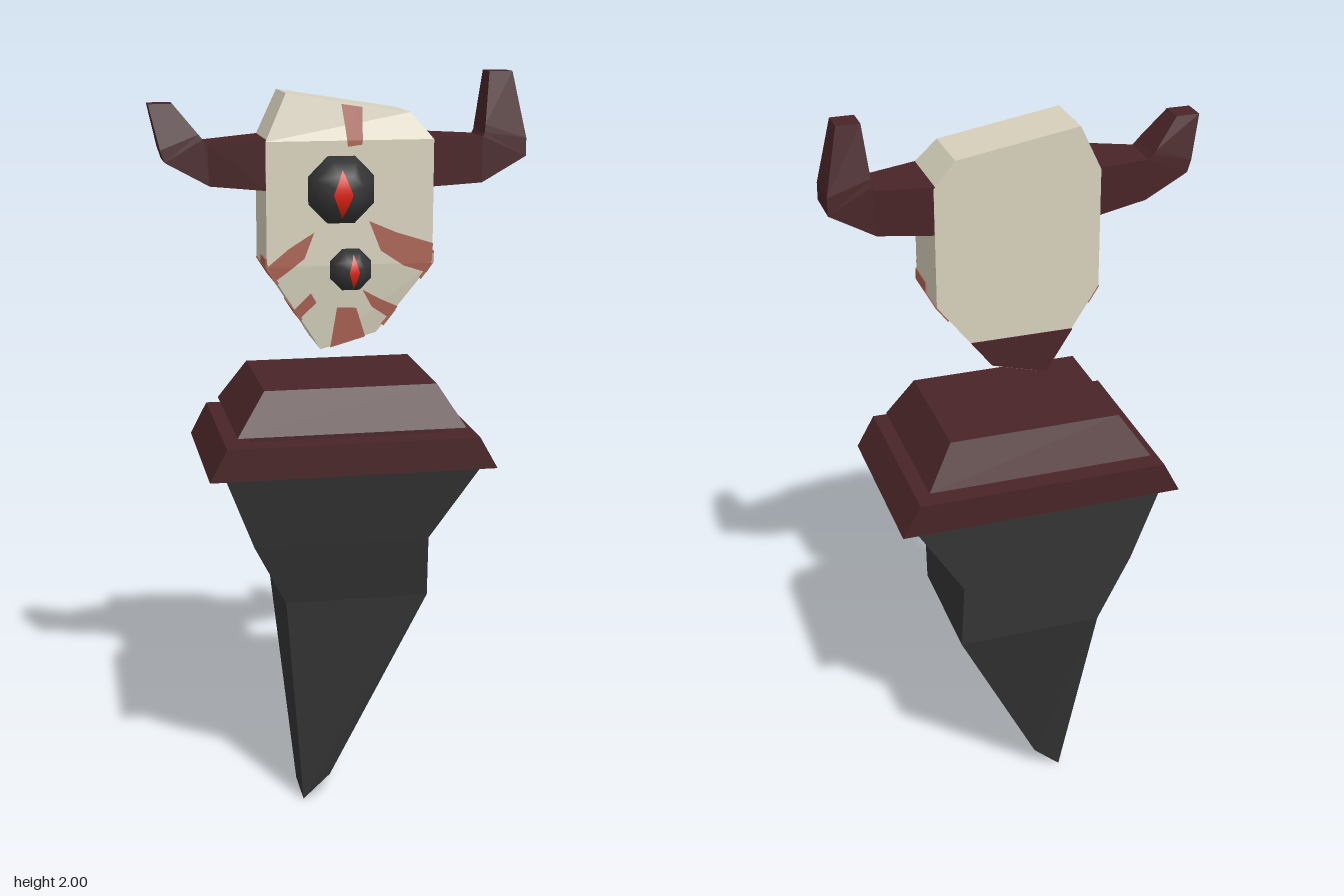
import * as THREE from 'three';

const mat = (name, color) => {
  const m = new THREE.MeshStandardMaterial({ color });
  m.name = name;
  return m;
};

export function createModel() {
  const maroon = mat('maroon', 0x482427);
  const black = mat('charcoal', 0x343434);
  const bone = mat('bone', 0xd6d0bb);
  const paint = mat('red paint', 0xaa6353);
  const red = mat('pupil red', 0xdd2010);
  paint.side = red.side = THREE.DoubleSide;

  const root = new THREE.Group();
  const add = (name, geo, material, parent = root) => {
    const mesh = new THREE.Mesh(geo, material);
    mesh.name = name;
    parent.add(mesh);
    return mesh;
  };

  // Faceted solid through four-cornered sections: [ax, ay, bx, by, zBack, zFront]
  const loft = (sections) => {
    const rings = sections.map(([ax, ay, bx, by, zb, zf]) =>
      [[ax, ay, zf], [bx, by, zf], [bx, by, zb], [ax, ay, zb]]);
    const pos = [];
    const quad = (a, b, c, d) => pos.push(...a, ...b, ...c, ...a, ...c, ...d);
    for (let i = 0; i < rings.length - 1; i++) {
      for (let j = 0; j < 4; j++) {
        const k = (j + 1) % 4;
        quad(rings[i][j], rings[i][k], rings[i + 1][k], rings[i + 1][j]);
      }
    }
    quad(...[...rings[0]].reverse());
    quad(...rings[rings.length - 1]);
    const geo = new THREE.BufferGeometry();
    geo.setAttribute('position', new THREE.Float32BufferAttribute(pos, 3));
    geo.computeVertexNormals();
    return geo;
  };
  const level = (y, x0, x1, z0, z1) => [x0, y, x1, y, z0, z1];

  // Tapering crooked spike
  add('spike', loft([
    [-0.1, 0, -0.025, 0.07, -0.08, 0.05],
    level(0.62, -0.155, 0.23, -0.22, 0.12),
    level(0.8, -0.245, 0.22, -0.22, 0.17),
    level(1.01, -0.325, 0.35, -0.22, 0.22),
  ]), black);

  // Two stacked collar slabs with a narrow neck between
  add('lowerCollar', loft([
    level(1.005, -0.365, 0.383, -0.243, 0.243),
    level(1.09, -0.32, 0.335, -0.243, 0.243),
  ]), maroon);
  add('collarNeck', loft([
    level(1.085, -0.25, 0.26, -0.18, 0.18),
    level(1.115, -0.25, 0.26, -0.18, 0.18),
  ]), maroon);
  add('upperCollar', loft([
    level(1.11, -0.29, 0.305, -0.22, 0.215),
    level(1.22, -0.215, 0.235, -0.175, 0.172),
  ]), maroon);

  // Floating mask
  const mask = new THREE.Group();
  mask.name = 'mask';
  root.add(mask);
  add('maskBody', loft([
    [-0.06, 1.31, 0.085, 1.35, -0.045, 0.115],
    level(1.53, -0.2, 0.225, -0.045, 0.14),
    level(1.84, -0.2, 0.225, -0.045, 0.14),
    [-0.145, 1.955, 0.17, 1.905, -0.045, 0.115],
  ]), bone, mask);
  add('backChinPatch', loft([
    [-0.06, 1.31, 0.085, 1.35, -0.05, -0.044],
    level(1.42, -0.13, 0.139, -0.05, -0.044),
  ]), maroon, mask);

  // Horns
  const hz = 0.047;
  const hornSection = (ax, ay, bx, by, h) => [ax, ay, bx, by, hz - h, hz + h];
  add('leftHorn', loft([
    hornSection(0.22, 1.845, 0.22, 1.722, 0.092),
    hornSection(0.36, 1.84, 0.36, 1.725, 0.057),
    hornSection(0.365, 1.85, 0.475, 1.79, 0.056),
    hornSection(0.367, 1.87, 0.475, 1.835, 0.054),
    hornSection(0.38, 2, 0.44, 2, 0.032),
  ]), maroon);
  add('rightHorn', loft([
    hornSection(-0.195, 1.72, -0.195, 1.845, 0.092),
    hornSection(-0.335, 1.73, -0.34, 1.835, 0.057),
    hornSection(-0.445, 1.79, -0.35, 1.845, 0.056),
    hornSection(-0.455, 1.82, -0.36, 1.857, 0.054),
    hornSection(-0.48, 1.93, -0.42, 1.93, 0.032),
  ]), maroon);

  // Painted stripes, cut where the face bends and laid on its planes
  const faceZ = (y) => 0.144 - (y < 1.53 ? (1.53 - y) * 0.114 : y > 1.84 ? (y - 1.84) * 0.217 : 0);
  const clip = (pts, limit, sign) => pts.flatMap((p, i) => {
    const q = pts[(i + 1) % pts.length];
    const dp = (p[1] - limit) * sign, dq = (q[1] - limit) * sign;
    const out = dp >= 0 ? [p] : [];
    if (dp * dq < 0) out.push([p[0] + (q[0] - p[0]) * dp / (dp - dq), limit]);
    return out;
  });
  const stripes = [
    [[-0.008, 1.928], [0.045, 1.92], [0.042, 1.83], [0.005, 1.825], [0, 1.87]],
    [[0.06, 1.64], [0.13, 1.61], [0.225, 1.58], [0.222, 1.525], [0.21, 1.505], [0.15, 1.525], [0.09, 1.565]],
    [[-0.08, 1.615], [-0.105, 1.55], [-0.15, 1.515], [-0.178, 1.495], [-0.2, 1.53], [-0.145, 1.575]],
    [[-0.088, 1.46], [-0.073, 1.435], [-0.115, 1.395], [-0.133, 1.415]],
    [[-0.02, 1.42], [0.03, 1.418], [0.055, 1.342], [-0.035, 1.317]],
    [[0.045, 1.465], [0.09, 1.44], [0.138, 1.418], [0.115, 1.389], [0.07, 1.42]],
  ];
  for (const stripe of stripes) {
    for (const [lo, hi] of [[0, 1.53], [1.53, 1.84], [1.84, 3]]) {
      const pts = clip(clip(stripe, lo, 1), hi, -1);
      if (pts.length < 3) continue;
      const geo = new THREE.ShapeGeometry(new THREE.Shape(pts.map((p) => new THREE.Vector2(...p))));
      const pos = geo.attributes.position;
      for (let i = 0; i < pos.count; i++) pos.setZ(i, faceZ(pos.getY(i)));
      geo.computeVertexNormals();
      add('faceStripe', geo, paint, mask);
    }
  }

  // Stripes wrapping round the sides and chin: x0, y0, x1, y1, zBack, zFront
  for (const [x0, y0, x1, y1, z0, z1] of [
    [0.194, 1.49, 0.225, 1.53, -0.044, 0.137],
    [0.225, 1.53, 0.225, 1.56, 0.05, 0.14],
    [0.1, 1.37, 0.132, 1.41, 0, 0.124],
    [-0.172, 1.486, -0.2, 1.53, -0.044, 0.137],
    [-0.2, 1.53, -0.2, 1.55, 0.05, 0.14],
    [-0.111, 1.39, -0.133, 1.425, 0, 0.126],
    [-0.035, 1.317, 0.055, 1.342, -0.044, 0.115],
  ]) {
    const strip = add('sideStripe',
      new THREE.BoxGeometry(Math.hypot(x1 - x0, y1 - y0), 0.007, z1 - z0), paint, mask);
    strip.position.set((x0 + x1) / 2, (y0 + y1) / 2, (z0 + z1) / 2);
    strip.rotation.z = Math.atan2(y1 - y0, x1 - x0);
  }

  // Round eyes with slit pupils wrapped over the front
  const eye = (name, x, y, z, r, px, py, halfW, halfH) => {
    const group = new THREE.Group();
    group.name = name;
    group.position.set(x, y, z);
    mask.add(group);
    const ball = new THREE.SphereGeometry(r, 8, 6);
    ball.rotateX(Math.PI / 2).rotateZ(Math.PI / 8);
    add('eyeball', ball, black, group);
    const slit = new THREE.PlaneGeometry(2, 2, 2, 8);
    const pos = slit.attributes.position;
    for (let i = 0; i < pos.count; i++) {
      const v = pos.getY(i);
      const sx = px + pos.getX(i) * halfW * (1 - Math.abs(v)), sy = py + v * halfH;
      pos.setXYZ(i, sx, sy, Math.sqrt(r * r * 1.02 - sx * sx - sy * sy));
    }
    slit.computeVertexNormals();
    add('pupil', slit, red, group);
  };
  eye('upperEye', -0.012, 1.72, 0.145, 0.09, -0.01, -0.003, 0.024, 0.06);
  eye('lowerEye', 0.012, 1.52, 0.147, 0.057, 0, 0, 0.013, 0.045);

  return root;
}
